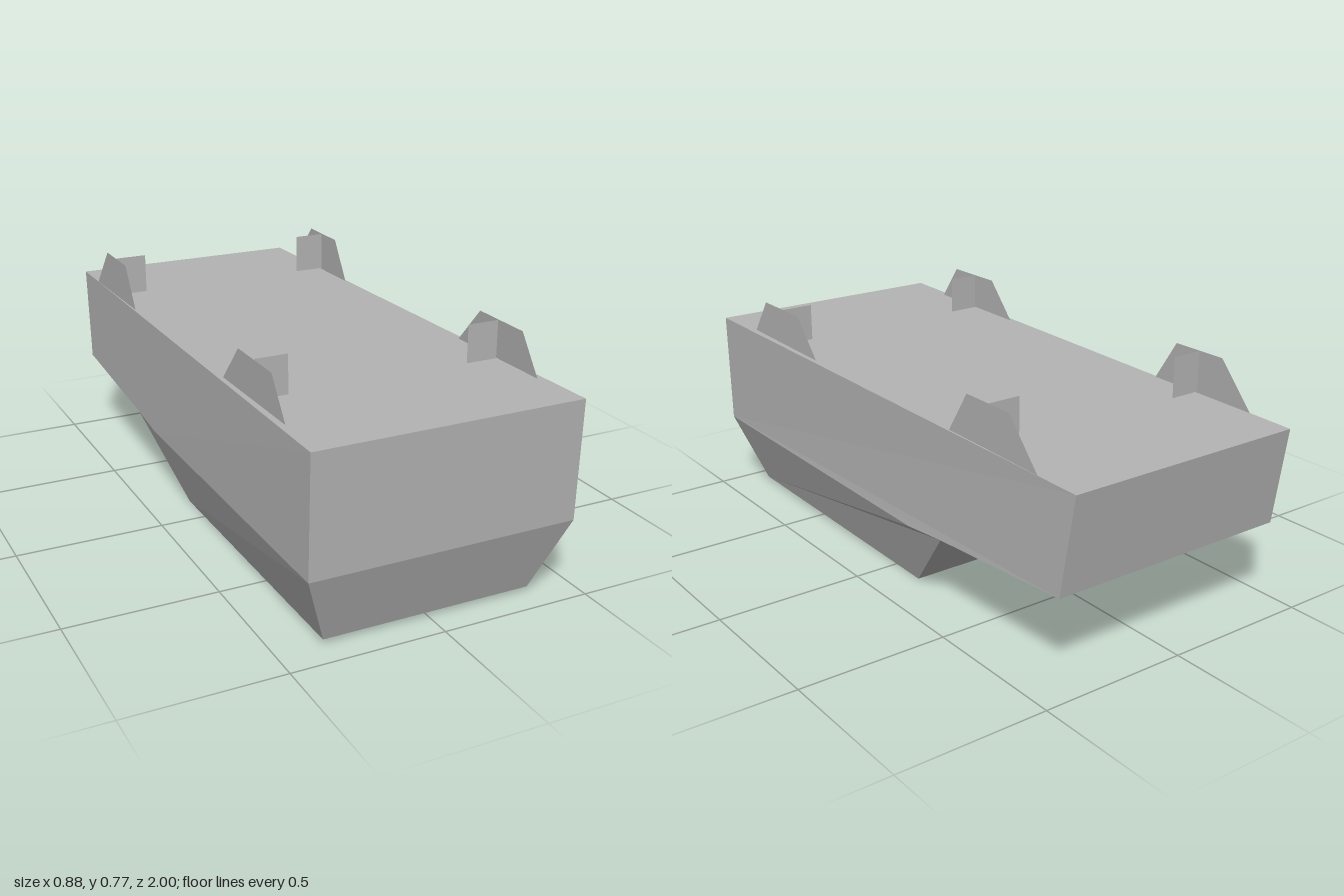
import * as THREE from 'three';

export function createModel() {
  const model = new THREE.Group();
  const grey = new THREE.MeshStandardMaterial({ color: 0xb4b4b4, flatShading: true, side: THREE.DoubleSide });
  grey.name = 'plain grey';

  // Hull: polygon faces joined between mirrored corner pairs
  const corners = {
    topFront: [0.44, 0.65, 1], topBack: [0.415, 0.625, -1],
    tailBottom: [0.422, 0.3, -0.95], step: [0.43, 0.263, -0.39],
    beltRear: [0.433, 0.247, -0.22], beltFront: [0.44, 0.26, 0.99],
    keelFront: [0.35, 0.015, 0.905], keelBack: [0.345, 0, -0.135],
  };
  const at = (name, side) => [corners[name][0] * side, corners[name][1], corners[name][2]];
  const hullPoints = [];
  const addFace = (pts) => {
    for (let i = 1; i < pts.length - 1; i++) hullPoints.push(...pts[0], ...pts[i], ...pts[i + 1]);
  };

  // Bands across the hull, following its outline from nose to tail and back below
  const outline = ['topFront', 'topBack', 'tailBottom', 'step', 'keelBack', 'keelFront', 'beltFront'];
  outline.forEach((name, i) => {
    const next = outline[(i + 1) % outline.length];
    addFace([at(name, -1), at(name, 1), at(next, 1), at(next, -1)]);
  });

  // Upright flanks and the sloping bilge on both sides
  const flank = ['beltFront', 'beltRear', 'step', 'tailBottom', 'topBack', 'topFront'];
  const bilge = ['keelFront', 'keelBack', 'step', 'beltRear', 'beltFront'];
  for (const side of [1, -1]) {
    for (const names of [flank, bilge]) {
      const pts = names.map((n) => at(n, side));
      addFace(side > 0 ? pts : pts.reverse());
    }
  }
  const hullGeometry = new THREE.BufferGeometry();
  hullGeometry.setAttribute('position', new THREE.Float32BufferAttribute(hullPoints, 3));
  hullGeometry.computeVertexNormals();
  const hull = new THREE.Mesh(hullGeometry, grey);
  hull.name = 'hull';
  model.add(hull);

  // Four corner brackets: a trapezoid fin with a cross tab facing inward
  const brackets = [
    { label: 'front', fin: [[0.8, 0.645], [0.71, 0.77], [0.48, 0.77], [0.36, 0.637]], tabZ: 0.585 },
    { label: 'rear', fin: [[-0.42, 0.63], [-0.51, 0.77], [-0.71, 0.77], [-0.84, 0.625]], tabZ: -0.615 },
  ];
  for (const { label, fin, tabZ } of brackets) {
    for (const side of [1, -1]) {
      const bracket = new THREE.Group();
      bracket.name = `${label}${side > 0 ? 'Left' : 'Right'}Bracket`;

      const shape = new THREE.Shape(fin.map(([z, y]) => new THREE.Vector2(-z, y)));
      const finMesh = new THREE.Mesh(new THREE.ShapeGeometry(shape), grey);
      finMesh.name = 'fin';
      finMesh.rotation.y = Math.PI / 2;
      finMesh.position.x = side * 0.416;

      const tab = new THREE.Mesh(new THREE.PlaneGeometry(0.108, 0.135), grey);
      tab.name = 'crossTab';
      tab.position.set(side * 0.359, 0.7025, tabZ);

      bracket.add(finMesh, tab);
      model.add(bracket);
    }
  }
  return model;
}
